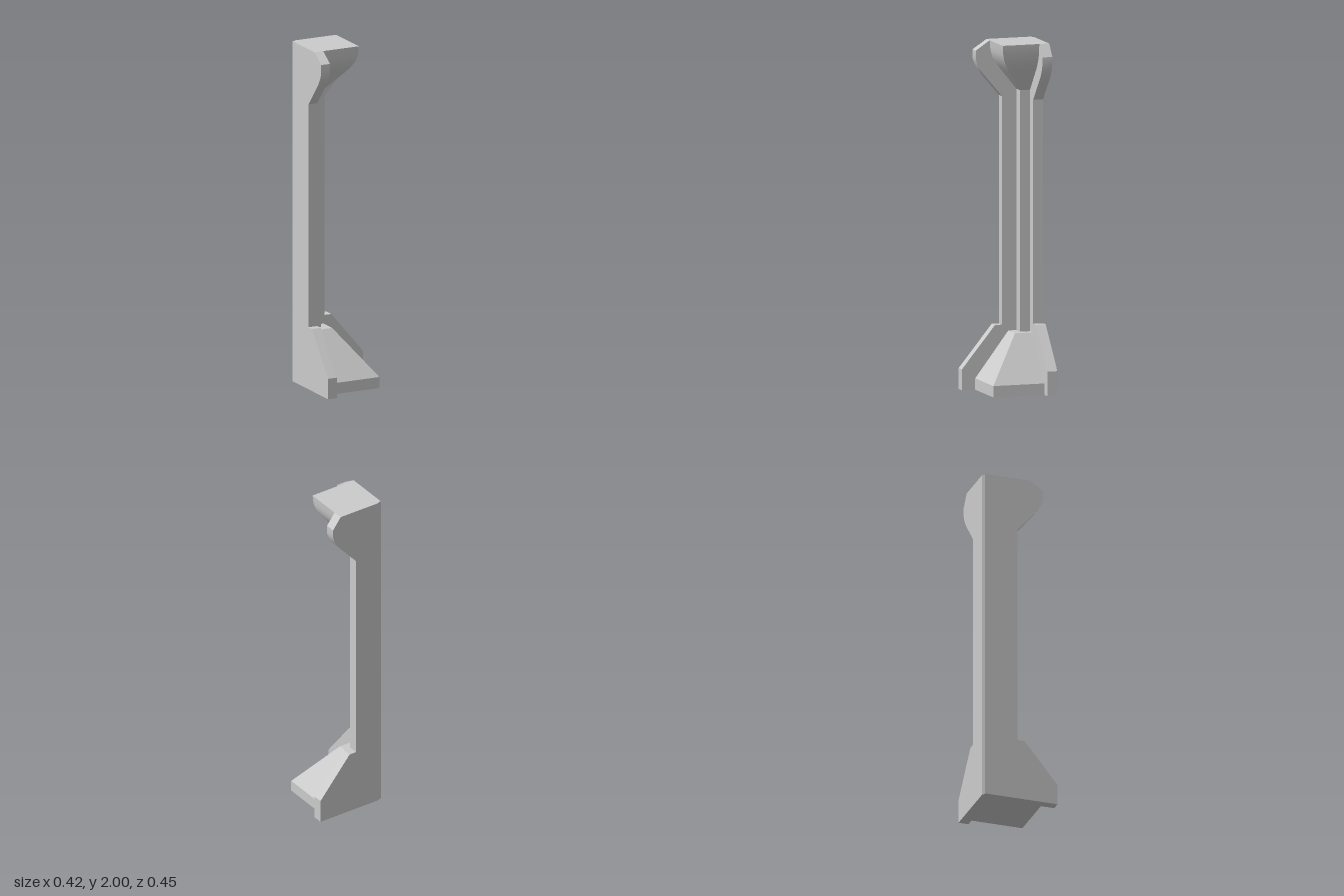
import * as THREE from 'three';
import { toCreasedNormals } from 'three/addons/utils/BufferGeometryUtils.js';

const CREASE = 0.5;
const material = new THREE.MeshStandardMaterial({ color: 0xcccccc });

function addMesh(group, name, geometry) {
  const mesh = new THREE.Mesh(toCreasedNormals(geometry, CREASE), material);
  mesh.name = name;
  group.add(mesh);
}

// Flat plate cut from a side profile of [across, height] points
function plateGeometry(points, depth) {
  const shape = new THREE.Shape(points.map(([a, y]) => new THREE.Vector2(a, y)));
  return new THREE.ExtrudeGeometry(shape, { depth, bevelEnabled: false });
}

// Stack of rectangles sharing one back corner; levels are [reach, height]
function cornerLoft(levels, x0, z0, zShift) {
  const loops = levels.map(([r, y]) => [
    [x0, y, z0], [x0, y, r + zShift], [r, y, r + zShift], [r, y, z0],
  ]);
  const pos = [];
  const quad = (a, b, c, d) => pos.push(...a, ...b, ...c, ...a, ...c, ...d);
  for (let k = 0; k < loops.length - 1; k++) {
    const lo = loops[k], hi = loops[k + 1];
    for (let i = 0; i < 4; i++) {
      const j = (i + 1) % 4;
      quad(lo[i], lo[j], hi[j], hi[i]);
    }
  }
  quad(...loops[loops.length - 1]);
  quad(...[...loops[0]].reverse());
  const geometry = new THREE.BufferGeometry();
  geometry.setAttribute('position', new THREE.Float32BufferAttribute(pos, 3));
  return geometry;
}

export function createModel() {
  const group = new THREE.Group();
  group.name = 'cornerPillar';

  // Square core: plinth, sloped foot, shaft and flared head
  addMesh(group, 'core', cornerLoft([
    [0.157, 0], [0.157, 0.065], [-0.042, 0.33], [-0.09, 0.33], [-0.09, 1.715],
    [0.01, 1.838], [0.036, 1.873], [0.055, 1.908], [0.066, 1.945], [0.07, 2],
  ], -0.195, -0.217, -0.016));

  // Back plate, facing along z
  const back = plateGeometry([
    [-0.195, 0], [0.209, 0], [0.209, 0.14], [0.008, 0.38], [-0.037, 0.38],
    [-0.037, 1.665], [0.07, 1.788], [0.094, 1.818], [0.112, 1.85], [0.122, 1.88],
    [0.122, 1.93], [0.07, 2], [-0.195, 2],
  ], 0.06);
  back.translate(0, 0, -0.225);
  addMesh(group, 'backPlate', back);

  // Side plate, facing along x
  const side = plateGeometry([
    [-0.217, 0], [0.221, 0], [0.221, 0.12], [0.022, 0.365], [-0.021, 0.365],
    [-0.021, 1.675], [0.085, 1.8], [0.108, 1.83], [0.126, 1.862], [0.137, 1.895],
    [0.137, 1.945], [0.054, 2], [-0.217, 2],
  ], 0.056);
  side.rotateY(-Math.PI / 2);
  side.translate(-0.157, 0, 0);
  addMesh(group, 'sidePlate', side);

  return group;
}
